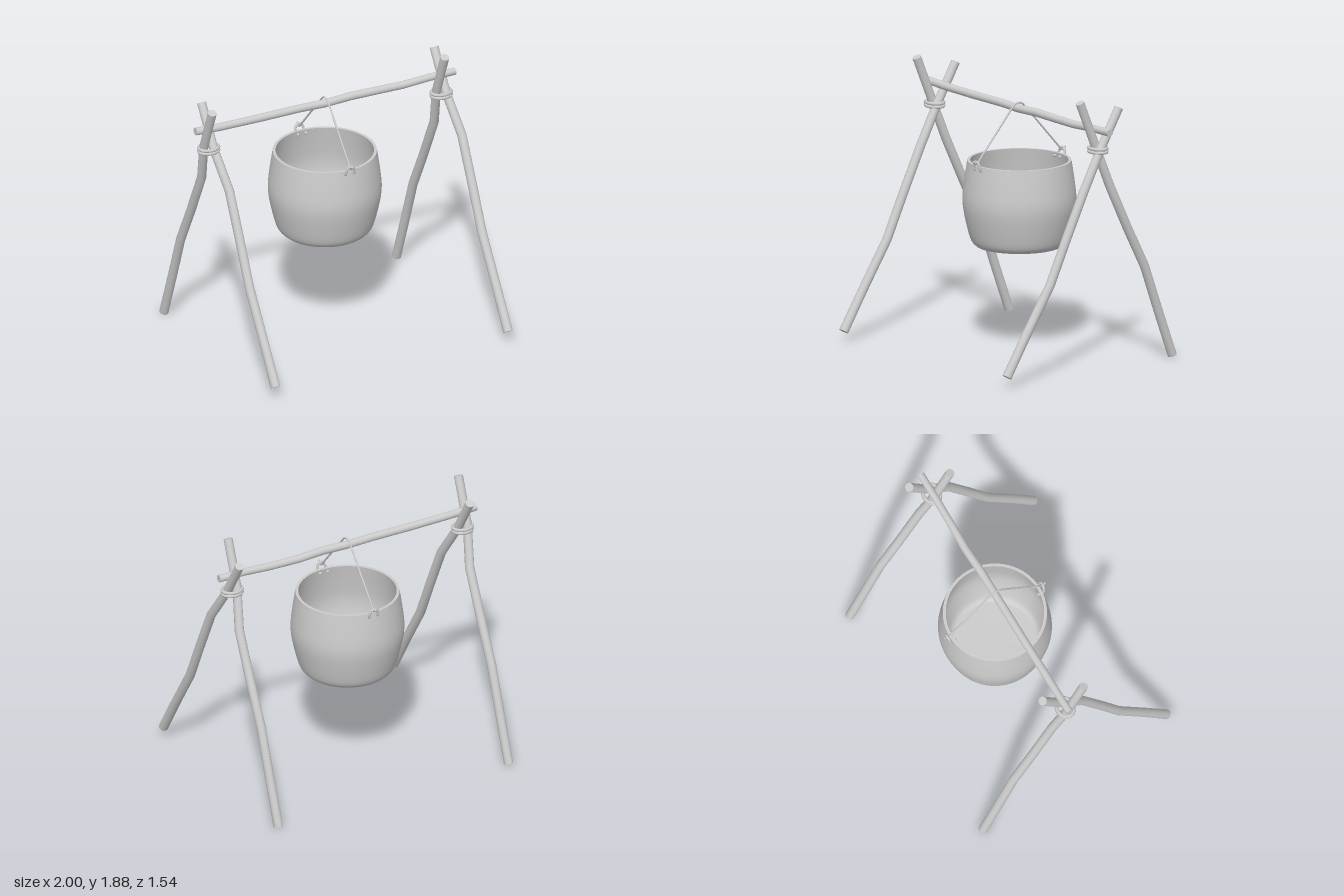
import * as THREE from 'three';

const material = new THREE.MeshStandardMaterial({ color: 0xcccccc, side: THREE.DoubleSide });
const POT_Z = -0.115;
const V = (x, y, z) => new THREE.Vector3(x, y, z);

function addMesh(parent, name, geometry) {
  const mesh = new THREE.Mesh(geometry, material);
  mesh.name = name;
  parent.add(mesh);
  return mesh;
}

// Capped round limb through [x, y, z, radius] points; ref is any direction across the limb.
function limb(points, ref, sides = 16) {
  const centres = points.map(p => V(p[0], p[1], p[2]));
  const pos = [], index = [];
  const last = points.length - 1;
  centres.forEach((c, i) => {
    const t = centres[Math.min(i + 1, last)].clone().sub(centres[Math.max(i - 1, 0)]).normalize();
    const n = ref.clone().addScaledVector(t, -ref.dot(t)).normalize();
    const b = t.clone().cross(n);
    for (let j = 0; j < sides; j++) {
      const a = j / sides * Math.PI * 2;
      const p = c.clone().addScaledVector(n, Math.cos(a) * points[i][3]).addScaledVector(b, Math.sin(a) * points[i][3]);
      pos.push(p.x, p.y, p.z);
    }
  });
  for (let i = 0; i < last; i++) {
    for (let j = 0; j < sides; j++) {
      const k = (j + 1) % sides, r = i * sides, s = r + sides;
      index.push(r + j, r + k, s + j, r + k, s + k, s + j);
    }
  }
  // End caps have their own vertices so their edges stay sharp
  for (const end of [0, last]) {
    const base = pos.length / 3;
    pos.push(...pos.slice(end * sides * 3, (end + 1) * sides * 3), ...centres[end].toArray());
    for (let j = 0; j < sides; j++) {
      const k = (j + 1) % sides;
      index.push(base + sides, base + (end ? j : k), base + (end ? k : j));
    }
  }
  const g = new THREE.BufferGeometry();
  g.setAttribute('position', new THREE.Float32BufferAttribute(pos, 3));
  g.setIndex(index);
  g.computeVertexNormals();
  return g;
}

function tube(points, radius, segments, closed = false) {
  return new THREE.TubeGeometry(new THREE.CatmullRomCurve3(points, closed), segments, radius, 8, closed);
}

// Two crossed poles and the rope binding them
function createTrestle(name) {
  const trestle = new THREE.Group();
  trestle.name = name;
  const across = V(1, 0, 0);
  addMesh(trestle, 'frontPole', limb([
    [-0.84, 0.08, 0.745, 0.033], [-0.84, 0.345, 0.58, 0.032], [-0.84, 0.67, 0.37, 0.032],
    [-0.84, 0.96, 0.235, 0.032], [-0.84, 1.28, 0.08, 0.032], [-0.873, 1.54, -0.088, 0.031],
    [-0.877, 1.815, -0.253, 0.031]], across));
  addMesh(trestle, 'backPole', limb([
    [-0.907, 0.015, -0.74, 0.032], [-0.907, 0.345, -0.617, 0.032], [-0.907, 0.67, -0.5, 0.032],
    [-0.907, 0.96, -0.35, 0.032], [-0.907, 1.28, -0.195, 0.032], [-0.942, 1.56, -0.1, 0.031],
    [-0.945, 1.875, 0.03, 0.031]], across));
  for (const y of [1.528, 1.551]) {
    const loop = [];
    for (let i = 0; i < 16; i++) {
      const a = i / 16 * Math.PI * 2;
      loop.push(V(-0.907 + 0.071 * Math.cos(a), y, -0.095 + 0.056 * Math.sin(a)));
    }
    addMesh(trestle, 'lashingCoil', tube(loop, 0.012, 40, true));
  }
  return trestle;
}

// Round-bellied pot with a thick rim and closed bottom
function createPot() {
  const pot = new THREE.Group();
  pot.name = 'pot';
  pot.position.z = POT_Z;
  const belly = pts => new THREE.SplineCurve(pts.map(p => new THREE.Vector2(...p))).getPoints(24);
  const line = pts => pts.map(p => new THREE.Vector2(...p));
  const outer = belly([[0.298, 0.716], [0.335, 0.765], [0.376, 0.93], [0.388, 1.04], [0.377, 1.16], [0.355, 1.308]]);
  const inner = belly([[0.335, 1.308], [0.357, 1.16], [0.368, 1.04], [0.356, 0.93], [0.315, 0.78], [0.28, 0.74]]);
  const lathe = (name, pts) => addMesh(pot, name, new THREE.LatheGeometry(pts, 64));
  lathe('potBottom', line([[0, 0.715], [0.298, 0.716]]));
  lathe('potWall', outer);
  lathe('potRim', line([[0.355, 1.308], [0.335, 1.308]]));
  lathe('potInside', [...inner, new THREE.Vector2(0, 0.735)]);

  // Wire ears threaded through the wall
  for (const s of [1, -1]) {
    addMesh(pot, s > 0 ? 'frontEar' : 'backEar', tube([
      V(-0.03, 1.285, s * 0.325), V(-0.032, 1.285, s * 0.362), V(-0.031, 1.31, s * 0.368),
      V(-0.02, 1.336, s * 0.372), V(0, 1.344, s * 0.376), V(0.02, 1.336, s * 0.372),
      V(0.031, 1.31, s * 0.368), V(0.032, 1.285, s * 0.362), V(0.03, 1.285, s * 0.325)], 0.009, 40));
    for (const x of [-0.03, 0.03]) {
      const knob = addMesh(pot, 'earEnd', new THREE.SphereGeometry(0.011, 12, 8));
      knob.position.set(x, 1.285, s * 0.328);
    }
  }
  return pot;
}

// Bail wire: hooked at both ears and bent over the crossbar
function createBail() {
  const half = [[0.398, 1.348], [0.385, 1.334], [0.37, 1.326], [0.357, 1.336], [0.34, 1.358],
    [0.075, 1.655], [0.05, 1.682], [0.035, 1.697], [0.018, 1.705]];
  const point = (z, y) => [0, y, POT_Z + 0.008 * Math.min(1, (y - 1.3) / 0.4) + z, 0.0065];
  const path = [
    ...half.map(([z, y]) => point(z, y)),
    point(0, 1.708),
    ...half.slice().reverse().map(([z, y]) => point(-z, y))];
  return limb(path, V(1, 0, 0), 8);
}

export function createModel() {
  const model = new THREE.Group();
  model.name = 'campfirePotStand';

  const right = createTrestle('rightTrestle');
  const left = createTrestle('leftTrestle');
  left.position.x = 1.794;
  model.add(right, left);

  // Slightly crooked crossbar
  addMesh(model, 'crossbar', limb([
    [-1, 1.685, -0.112, 0.027], [-0.8, 1.675, -0.112, 0.027], [-0.5, 1.671, -0.113, 0.028],
    [-0.2, 1.671, -0.113, 0.028], [0, 1.664, -0.112, 0.028], [0.2, 1.671, -0.114, 0.029],
    [0.38, 1.663, -0.121, 0.028], [0.6, 1.661, -0.114, 0.027], [0.8, 1.671, -0.112, 0.026],
    [1, 1.672, -0.112, 0.026]], V(0, 1, 0)));

  model.add(createPot());
  addMesh(model, 'bailHandle', createBail());
  return model;
}
